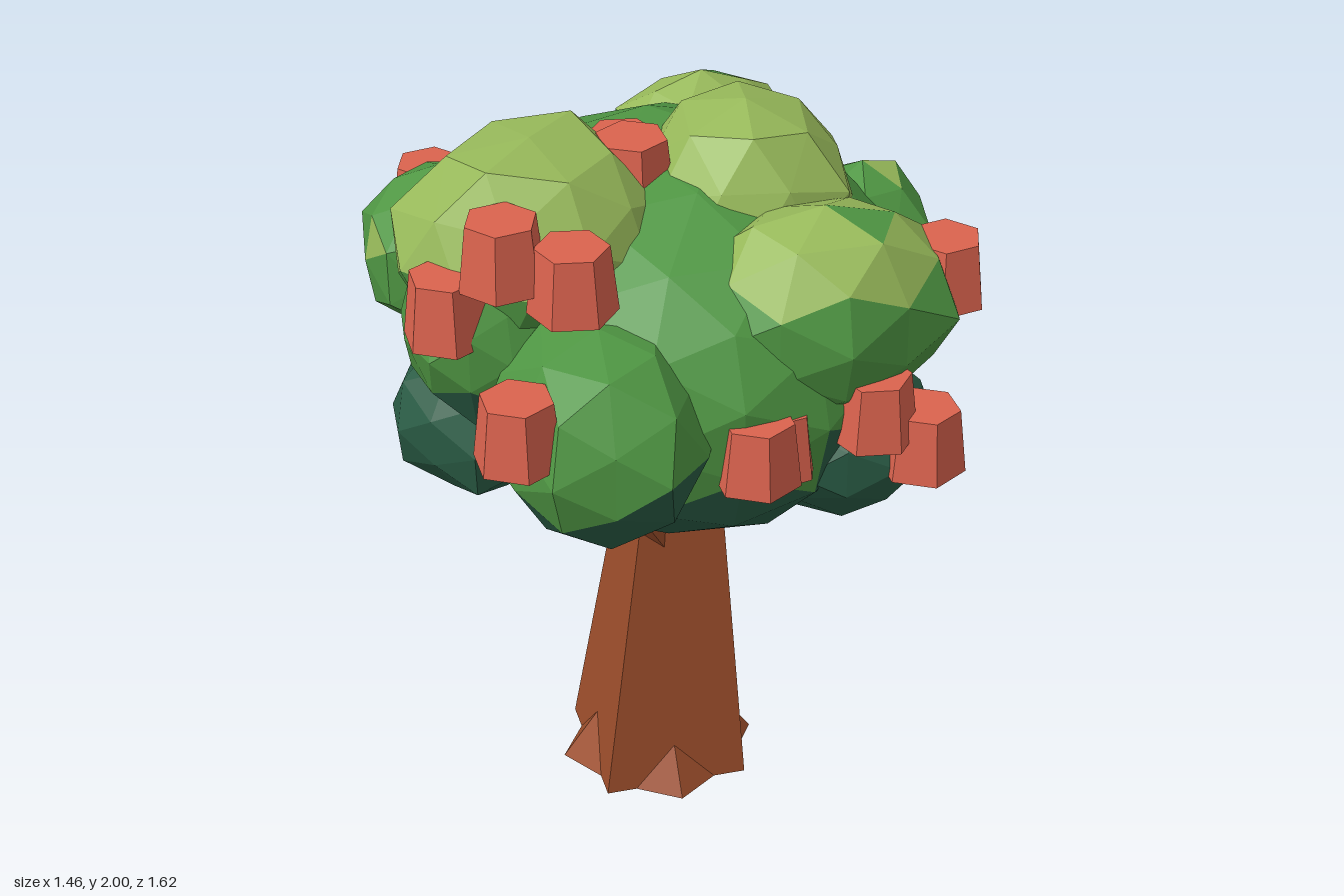
import * as THREE from 'three';

const mat = (name, color) => {
  const m = new THREE.MeshStandardMaterial({ color, flatShading: true });
  m.name = name;
  return m;
};

export function createModel() {
  const tree = new THREE.Group();
  tree.name = 'tree';
  const bark = mat('bark brown', 0x9c4e2b);
  const dark = mat('deep green', 0x2a5c45);
  const mid = mat('leaf green', 0x4f9643);
  const light = mat('light green', 0x97b95a);
  const red = mat('fruit red', 0xdb634e);

  const add = (name, geometry, material, parent = tree) => {
    const mesh = new THREE.Mesh(geometry, material);
    mesh.name = name;
    parent.add(mesh);
    return mesh;
  };

  // Square trunk tapering upward, slightly offset at the foot
  const trunk = new THREE.CylinderGeometry(0.163, 0.275, 0.79, 4, 1).rotateY(Math.PI / 4);
  trunk.translate(0, 0.405, 0);
  const tp = trunk.attributes.position;
  for (let i = 0; i < tp.count; i++) if (tp.getY(i) < 0.1) tp.setX(i, tp.getX(i) - 0.035);
  add('trunk', trunk, bark);

  // A broad root flare on each trunk face, its tip leaning against the trunk
  const roots = new THREE.Group();
  roots.name = 'roots';
  roots.position.x = -0.038;
  tree.add(roots);
  for (let k = 0; k < 4; k++) {
    const g = new THREE.ConeGeometry(0.1, 0.14, 4).scale(1, 1, 1.5).translate(0.168, 0.08, 0);
    g.rotateY((k * Math.PI) / 2);
    add('root', g, bark, roots);
  }

  // Leaning branch that carries the crown
  const from = new THREE.Vector3(-0.03, 0.73, 0.01);
  const to = new THREE.Vector3(-0.21, 1.08, 0.16);
  const branch = add('branch', new THREE.CylinderGeometry(0.12, 0.09, from.distanceTo(to), 4), bark);
  branch.position.copy(from).lerp(to, 0.5);
  branch.quaternion.setFromUnitVectors(new THREE.Vector3(0, 1, 0), to.clone().sub(from).normalize());

  // Faceted leaf clump, its faces sorted into an upper and a lower colour.
  // Light caps split level, the others along a tilted plane. The face nearest
  // to spot.dir, if given, takes spot.material.
  const clump = (name, [cx, cy, cz], [rx, ry, rz], upper, lower, split, { detail = 1, rough = 0.1, spot } = {}) => {
    const g = new THREE.IcosahedronGeometry(1, detail).rotateY(cx * 7 + cz * 3);
    const tilt = upper === light ? 0 : 1;
    const p = g.attributes.position;
    const v = new THREE.Vector3();
    for (let i = 0; i < p.count; i++) {
      v.fromBufferAttribute(p, i);
      const n = Math.sin(v.x * 9.1 + cx * 5) + Math.sin(v.y * 8.3 + cz * 4) + Math.sin(v.z * 7.7 + cy * 6);
      v.multiplyScalar(1 + (rough * n) / 3);
      p.setXYZ(i, v.x * rx, v.y * ry, v.z * rz);
    }
    const faces = [];
    for (let i = 0; i < p.count; i += 3) {
      const c = new THREE.Vector3();
      for (let j = i; j < i + 3; j++) c.add(v.fromBufferAttribute(p, j).divideScalar(3));
      faces.push({ i, c, m: c.y > split + tilt * (0.3 * c.x - 0.15 * c.z) ? 0 : 1 });
    }
    const materials = [upper, lower];
    if (spot) {
      const dir = new THREE.Vector3(...spot.dir);
      faces.reduce((a, b) => (a.c.dot(dir) > b.c.dot(dir) ? a : b)).m = 2;
      materials.push(spot.material);
    }
    faces.forEach(({ i, m }) => g.addGroup(i, 3, m));
    g.computeVertexNormals();
    add(name, g, materials).position.set(cx, cy, cz);
  };

  clump('crown', [0, 1.39, 0], [0.62, 0.5, 0.69], mid, dark, -0.05, { detail: 2, rough: 0.035 });
  clump('topRightClump', [-0.38, 1.72, 0.11], [0.34, 0.28, 0.32], light, mid, 0);
  clump('topLeftClump', [0.17, 1.73, 0.07], [0.28, 0.27, 0.29], light, mid, -0.02);
  clump('backTopClump', [0.2, 1.62, -0.44], [0.25, 0.22, 0.22], light, mid, 0.08, { spot: { dir: [0.4, 1, -0.1], material: mid } });
  clump('frontLeftClump', [0.27, 1.6, 0.41], [0.33, 0.27, 0.26], light, mid, 0.12, { spot: { dir: [0.1, 1, 0.1], material: mid } });
  clump('frontRightClump', [-0.31, 1.4, 0.5], [0.27, 0.28, 0.31], mid, dark, -0.03);
  clump('rightClump', [-0.53, 1.5, -0.3], [0.21, 0.23, 0.23], mid, dark, -0.1, { spot: { dir: [-1, 0.6, 0.1], material: light } });
  clump('leftClump', [0.55, 1.47, -0.14], [0.19, 0.2, 0.21], mid, dark, -0.06, { spot: { dir: [0.5, 1, 0], material: light } });
  clump('backClump', [-0.03, 1.32, -0.58], [0.3, 0.25, 0.24], mid, dark, -0.02);
  clump('rightFrontClump', [-0.52, 1.55, 0.2], [0.2, 0.24, 0.24], mid, dark, -0.08);
  clump('lowRightClump', [-0.5, 1.2, 0.02], [0.23, 0.22, 0.24], dark, dark, 0);
  clump('lowLeftClump', [0.33, 1.23, 0.39], [0.24, 0.21, 0.24], dark, dark, 0);

  // Six-sided fruit, narrower at the top
  const fruits = new THREE.Group();
  fruits.name = 'fruits';
  tree.add(fruits);
  const fruitGeometry = new THREE.CylinderGeometry(0.09, 0.11, 0.17, 6);
  [
    [-0.635, 1.68, 0.32], [-0.51, 1.84, 0.38], [-0.36, 1.79, 0.46],
    [-0.54, 1.52, 0.65], [-0.51, 1.53, -0.55], [-0.48, 1.15, -0.14],
    [0.04, 1.37, 0.65], [0.1, 1.36, 0.59], [0.35, 1.41, 0.59],
    [0.48, 1.3, 0.59], [0.58, 1.66, 0.41],
    [-0.125, 1.83, 0], [-0.12, 1.86, 0.08],
  ].forEach(([x, y, z], i) => {
    const fruit = add('fruit', fruitGeometry, red, fruits);
    fruit.position.set(x, y, z);
    fruit.rotation.y = i * 0.7;
  });

  return tree;
}
